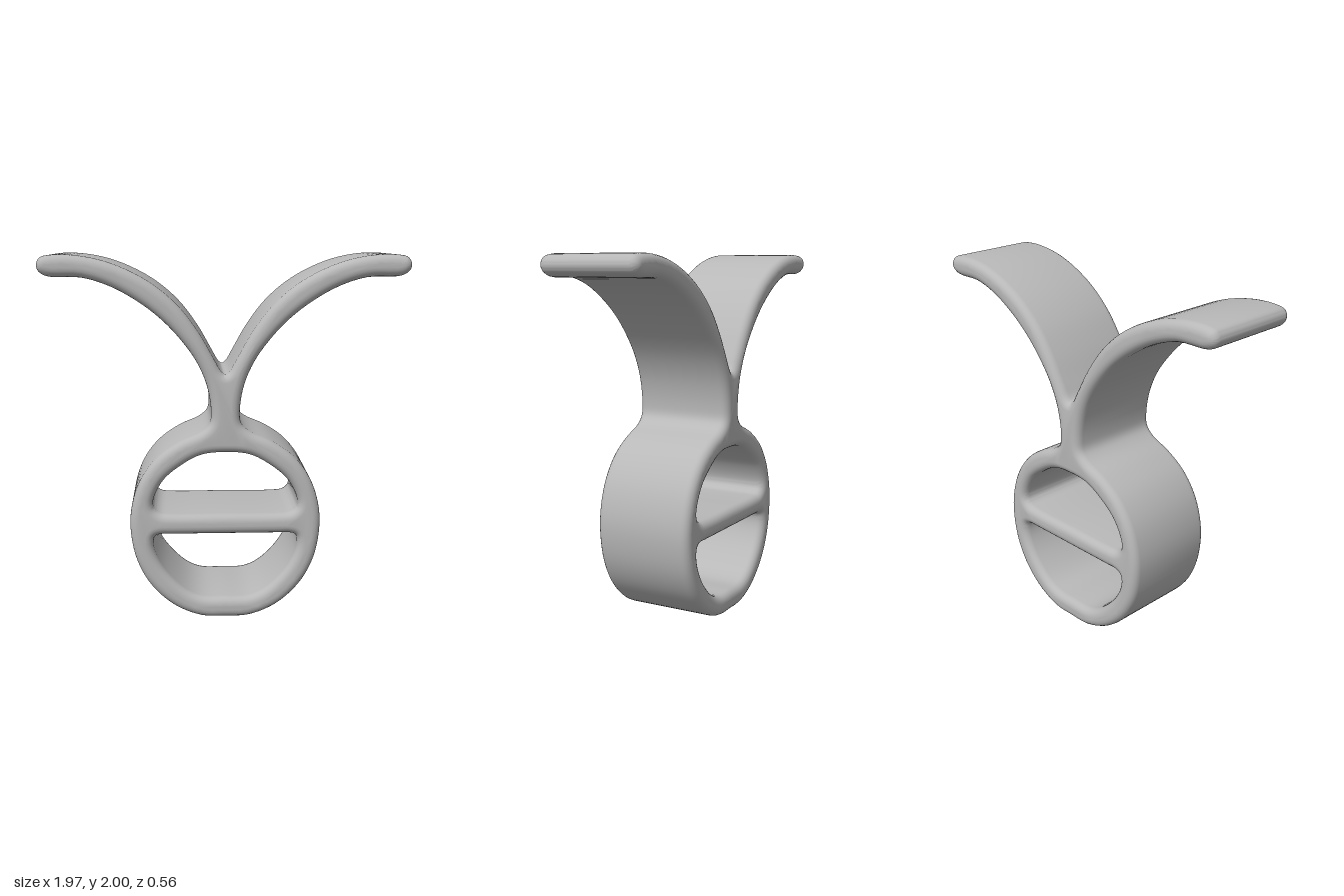
import * as THREE from 'three';
import { toCreasedNormals } from 'three/addons/utils/BufferGeometryUtils.js';

const WIDTH = 0.565; // full size along z
const ROUND = 0.045; // edge rounding

// Right half of each contour, from its lower to its upper point on x = 0
const OUTLINE = [
  [0, 0.003], [0.13, 0.008], [0.28, 0.07], [0.41, 0.19], [0.49, 0.34], [0.522, 0.52],
  [0.51, 0.66], [0.46, 0.8], [0.37, 0.92], [0.25, 1.005], [0.13, 1.06], [0.085, 1.105],
  [0.078, 1.18], [0.1, 1.31], [0.15, 1.43], [0.225, 1.54], [0.33, 1.655], [0.45, 1.75],
  [0.6, 1.835], [0.75, 1.882], [0.93, 1.89], [0.972, 1.915], [0.983, 1.95], [0.965, 1.985],
  [0.92, 1.998], [0.78, 1.997], [0.6, 1.957], [0.4, 1.86], [0.25, 1.735], [0.14, 1.59],
  [0.06, 1.45], [0.022, 1.385], [0, 1.37],
];
const UPPER_HOLE = [
  [0, 0.6], [0.3, 0.6], [0.36, 0.608], [0.392, 0.635], [0.395, 0.68],
  [0.34, 0.79], [0.24, 0.875], [0.13, 0.932], [0, 0.945],
];
const LOWER_HOLE = [
  [0, 0.12], [0.13, 0.124], [0.22, 0.165], [0.33, 0.275], [0.385, 0.375],
  [0.397, 0.44], [0.387, 0.475], [0.35, 0.487], [0.3, 0.487], [0, 0.487],
];

// Mirrors a half contour and smooths it into a closed loop
function contour(half, steps = 5) {
  const mirrored = half.slice(1, -1).reverse().map(([x, y]) => [-x, y]);
  const pts = [...half, ...mirrored].map(([x, y]) => new THREE.Vector3(x, y, 0));
  const curve = new THREE.CatmullRomCurve3(pts, true, 'centripetal');
  return curve.getPoints(pts.length * steps).slice(0, -1).map((p) => new THREE.Vector2(p.x, p.y));
}

export function createModel() {
  const group = new THREE.Group();
  group.name = 'forkedRingBand';
  const grey = new THREE.MeshStandardMaterial({ color: 0xb8b8b8 });
  grey.name = 'plainGrey';

  // Ring with a cross bar, neck and two curved arms, all one continuous band
  const shape = new THREE.Shape(contour(OUTLINE));
  shape.holes = [UPPER_HOLE, LOWER_HOLE].map((h) => new THREE.Path(contour(h)));
  const geometry = new THREE.ExtrudeGeometry(shape, {
    depth: WIDTH - 2 * ROUND,
    bevelEnabled: true,
    bevelThickness: ROUND,
    bevelSize: ROUND,
    bevelOffset: -ROUND,
    bevelSegments: 5,
    steps: 1,
  });
  geometry.translate(0, 0, ROUND - WIDTH / 2);

  const band = new THREE.Mesh(toCreasedNormals(geometry, 0.7), grey);
  band.name = 'ringNeckAndArms';
  group.add(band);
  return group;
}
